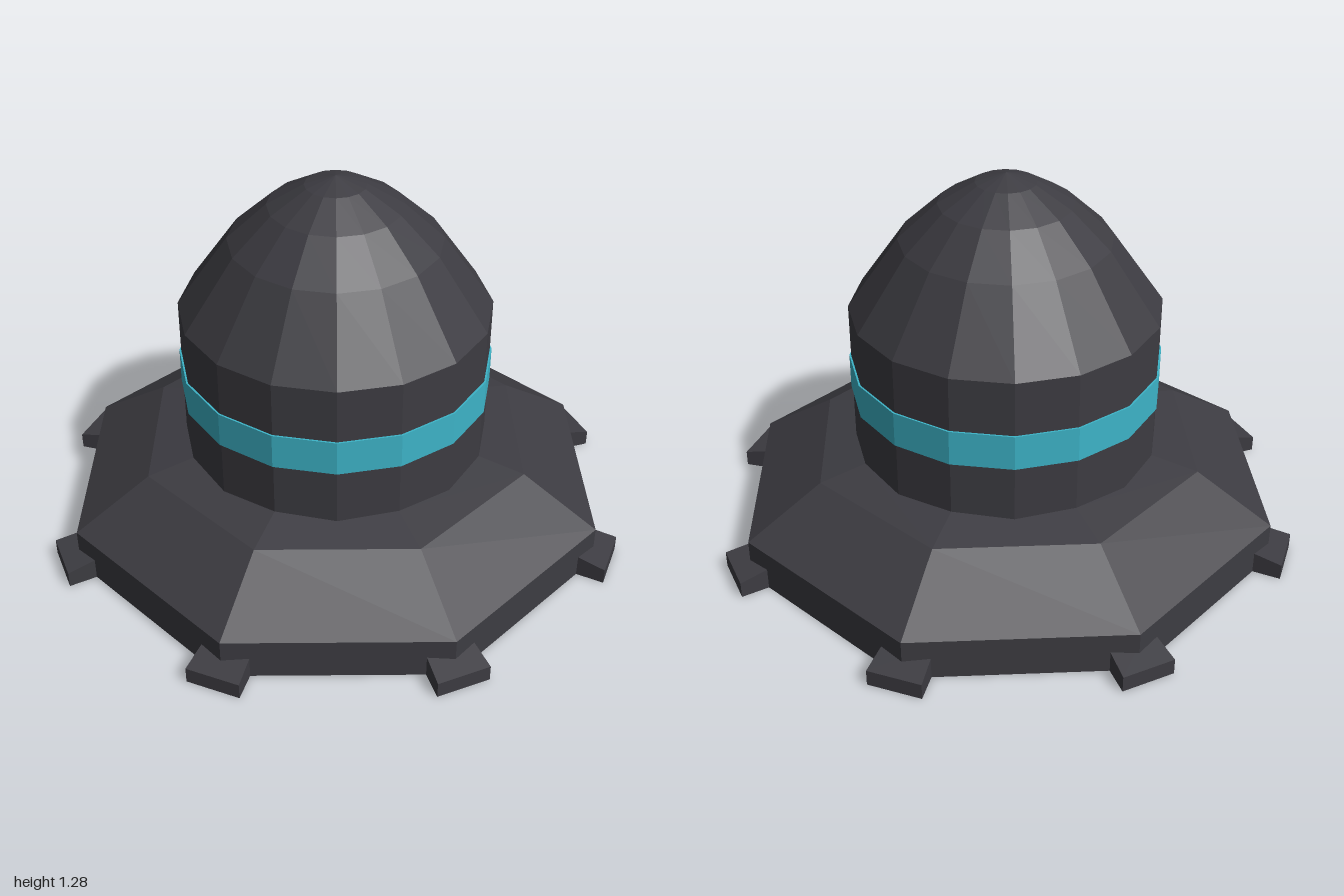
import * as THREE from 'three';

const makeMaterial = (name, color) => new THREE.MeshStandardMaterial({
  name, color, flatShading: true, side: THREE.DoubleSide,
});

export function createModel() {
  const model = new THREE.Group();
  model.name = 'domedTower';
  const darkMetal = makeMaterial('darkMetal', 0x3d3c42);
  const tealGlow = makeMaterial('tealGlow', 0x3db4c8);

  // Faceted shell turned around the y axis from [radius, height] points
  const addShell = (name, profile, sides, material) => {
    const points = profile.map(([r, y]) => new THREE.Vector2(r, y));
    const mesh = new THREE.Mesh(new THREE.LatheGeometry(points, sides), material);
    mesh.name = name;
    model.add(mesh);
  };

  // Hollow octagonal base with an open underside ring
  addShell('base', [[0.53, 0], [0.94, 0], [0.94, 0.14], [0.68, 0.3], [0.52, 0.33]], 8, darkMetal);

  // Sixteen-sided tower, split by the glowing band
  addShell('lowerWall', [[0.52, 0.32], [0.52, 0.515]], 16, darkMetal);
  addShell('band', [[0.52, 0.515], [0.526, 0.515], [0.526, 0.635], [0.52, 0.635]], 16, tealGlow);
  addShell('upperWall', [[0.52, 0.635], [0.52, 0.82]], 16, darkMetal);
  addShell('dome', [[0.52, 0.82], [0.35, 1.06], [0.22, 1.18], [0.1, 1.25], [0, 1.28]], 16, darkMetal);

  // Small feet on the corners, sloping down and widening outwards
  const footGeometry = new THREE.BoxGeometry(0.18, 0.055, 0.14);
  footGeometry.translate(0, 0.0275, 0.93);
  const p = footGeometry.attributes.position;
  for (let i = 0; i < p.count; i++) {
    if (p.getZ(i) < 0.93) {
      p.setX(i, p.getX(i) * 0.86);
      if (p.getY(i) > 0.01) p.setY(i, 0.083);
    }
  }
  footGeometry.computeVertexNormals();
  for (let i = 0; i < 8; i++) {
    const foot = new THREE.Mesh(footGeometry, darkMetal);
    foot.name = `foot${i + 1}`;
    foot.rotation.y = (i * Math.PI) / 4;
    model.add(foot);
  }

  return model;
}
